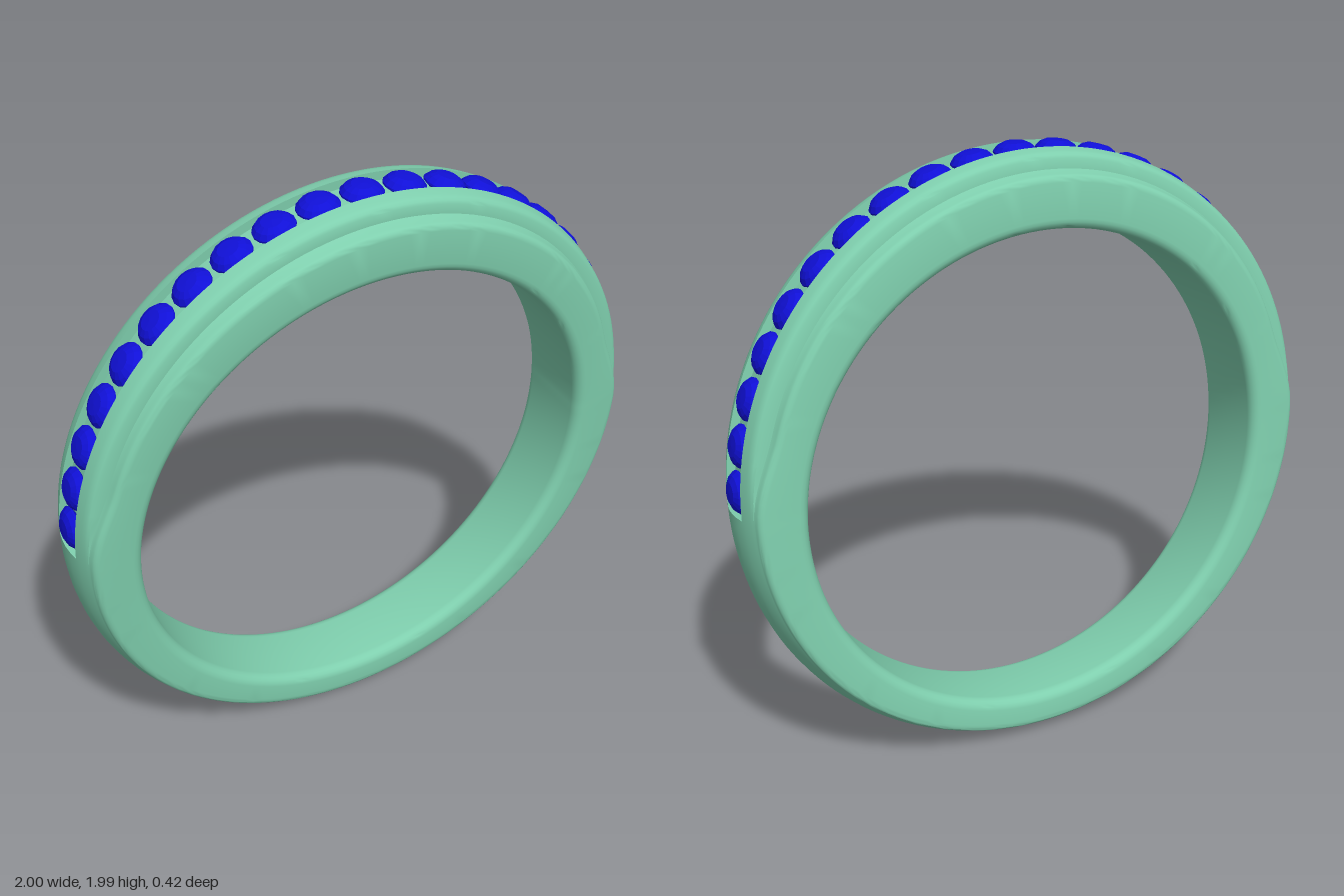
import * as THREE from 'three';
import { toCreasedNormals } from 'three/addons/utils/BufferGeometryUtils.js';

const CHANNEL = 0.063; // half width of the stone channel
const RAIL = 0.12;     // half width to the outside of the rails

// Half cross-section [w, r] at angle a, from the crown round to the bore
function halfSection(a, open) {
  const s = Math.sin(a);
  const hw = 0.1475 + 0.0175 * s;
  const ramp = THREE.MathUtils.smoothstep(s, 0, 0.3);
  const dome = w => 0.993 - 0.04 * (w / hw) ** 2;
  const floor = w => (open ? 0.958 : dome(w));
  const drop = 0.042 * ramp;
  const bore = -0.05 * s + Math.sqrt(0.64 - 0.0025 * Math.cos(a) ** 2);
  const pts = [[0, floor(0)], [CHANNEL / 2, floor(CHANNEL / 2)], [CHANNEL, floor(CHANNEL)]];
  // rail with rounded shoulder
  for (const w of [CHANNEL, 0.078, 0.093, 0.106]) pts.push([w, dome(w)]);
  pts.push([0.114, dome(0.114) - 0.004 * ramp], [0.119, dome(0.119) - 0.012 * ramp]);
  // ledge beside the rail
  pts.push([RAIL, dome(RAIL) - drop]);
  const f = Math.min(0.022, hw - RAIL - 0.002), edge = dome(hw - f) - drop;
  for (let k = 0; k <= 5; k++) {
    const t = k / 5 * Math.PI / 2;
    pts.push([hw - f + f * Math.sin(t), edge - 0.024 * (1 - Math.cos(t))]);
  }
  // rounded edge into the bore
  const g = 0.035;
  for (let k = 0; k <= 5; k++) {
    const t = k / 5 * Math.PI / 2;
    pts.push([hw - g + g * Math.cos(t), bore + g - g * Math.sin(t)]);
  }
  pts.push([0, bore]);
  return pts;
}

function bandGeometry() {
  const N = 80, rings = [];
  // upper half carries the channel, lower half is plain; doubled rings form the end walls
  for (const open of [true, false]) {
    for (let i = 0; i <= N; i++) {
      const a = (open ? 0 : Math.PI) + (i / N) * Math.PI;
      const half = halfSection(a, open);
      const mirrored = half.slice(1, -1).reverse().map(([w, r]) => [-w, r]);
      rings.push([...half, ...mirrored].map(([w, r]) => [r * Math.cos(a), r * Math.sin(a), w]));
    }
  }
  const n = rings[0].length, index = [];
  rings.forEach((_, i) => {
    const next = (i + 1) % rings.length;
    for (let j = 0; j < n; j++) {
      const k = (j + 1) % n;
      const a = i * n + j, b = next * n + j, c = next * n + k, d = i * n + k;
      index.push(a, b, d, b, c, d);
    }
  });
  const geo = new THREE.BufferGeometry();
  geo.setAttribute('position', new THREE.Float32BufferAttribute(rings.flat(2), 3));
  geo.setIndex(index);
  return toCreasedNormals(geo, 0.6);
}

export function createModel() {
  const model = new THREE.Group();
  model.name = 'ring';

  const metal = new THREE.MeshStandardMaterial({ color: 0x7fcfae });
  const band = new THREE.Mesh(bandGeometry(), metal);
  band.name = 'band';
  model.add(band);

  // Row of round cut stones along the upper half
  const stones = new THREE.Group();
  stones.name = 'stones';
  const profile = [[0, -0.045], [0.067, 0], [0.067, 0.006], [0.054, 0.021], [0.034, 0.031], [0, 0.033]]
    .map(([x, y]) => new THREE.Vector2(x, y));
  const stoneGeo = new THREE.LatheGeometry(profile, 16);
  const blue = new THREE.MeshStandardMaterial({ color: 0x1010d8, flatShading: true });
  const step = THREE.MathUtils.degToRad(8.6);
  for (let i = -10; i <= 10; i++) {
    const stone = new THREE.Mesh(stoneGeo, blue);
    stone.name = 'stone';
    const a = i * step;
    stone.position.set(0.967 * Math.sin(a), 0.967 * Math.cos(a), 0);
    stone.rotation.z = -a;
    stones.add(stone);
  }
  model.add(stones);

  // The ring leans slightly forward
  model.rotation.x = 0.067;
  model.position.set(0, 1, -0.015);
  const root = new THREE.Group();
  root.name = 'channelSetRing';
  root.add(model);
  return root;
}
